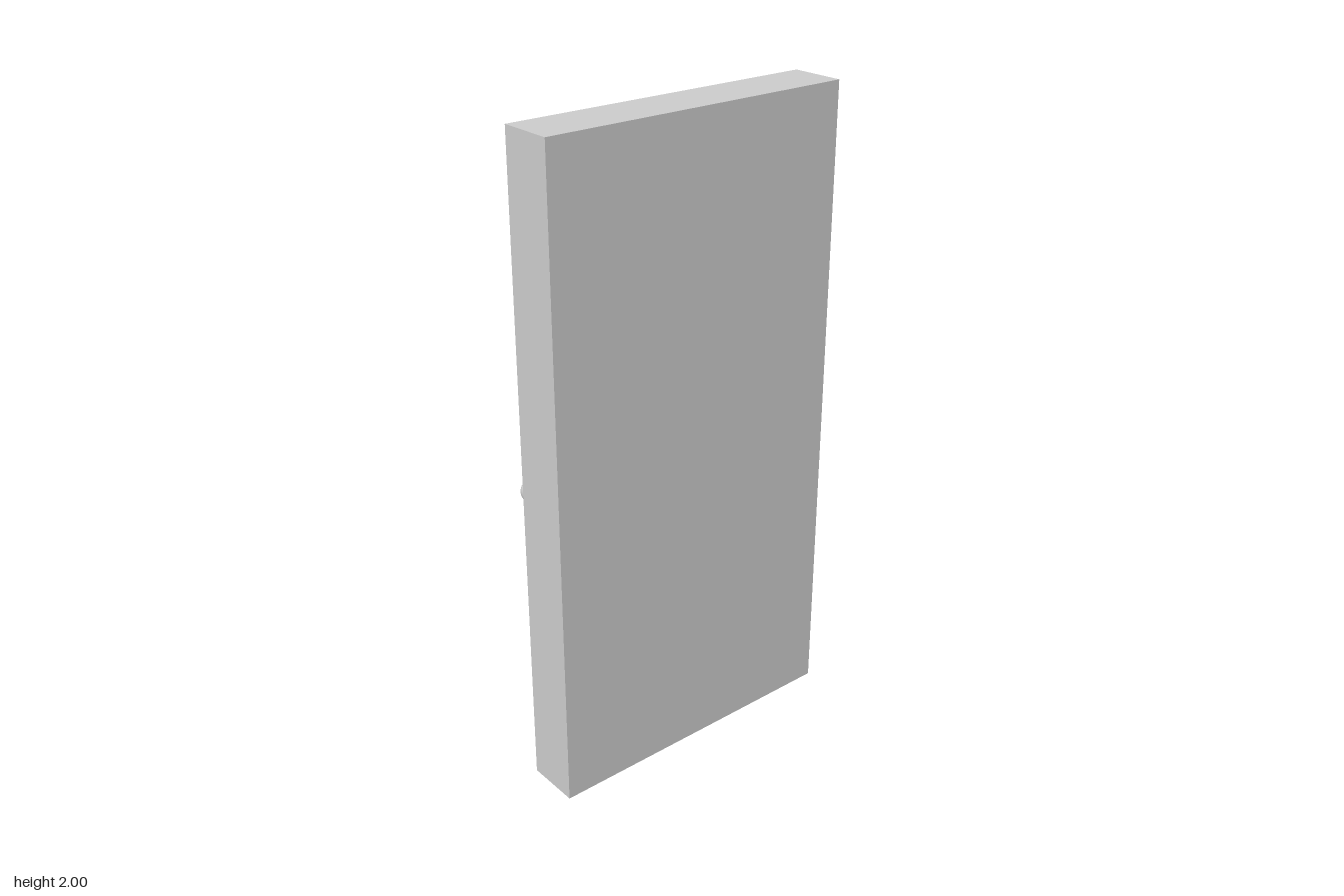
import * as THREE from 'three';

const BACK = -0.02; // z of the door face that carries the hardware

export function createModel() {
  const group = new THREE.Group();
  const grey = new THREE.MeshStandardMaterial({ color: 0xcccccc });
  const black = new THREE.MeshStandardMaterial({ color: 0x050505 });

  const add = (name, geometry, material, x, y, z) => {
    const mesh = new THREE.Mesh(geometry, material);
    mesh.name = name;
    mesh.position.set(x, y, z);
    group.add(mesh);
  };

  // Plain slab
  add('doorPanel', new THREE.BoxGeometry(1, 2, 0.17), grey, 0, 1, 0.065);

  // Turned knob: flared rose, narrow neck, rounded grip (radius, distance from door)
  const profile = new THREE.SplineCurve([
    [0.046, 0], [0.051, 0.008], [0.045, 0.018], [0.032, 0.028], [0.02, 0.038],
    [0.016, 0.047], [0.02, 0.056], [0.029, 0.071], [0.037, 0.087],
    [0.038, 0.1], [0.033, 0.116], [0.02, 0.127], [0, 0.131],
  ].map(([r, d]) => new THREE.Vector2(r, d)));
  const points = profile.getPoints(36).map((p) => new THREE.Vector2(Math.max(p.x, 0), p.y));
  const knob = new THREE.LatheGeometry(points, 32).rotateX(-Math.PI / 2);
  add('doorKnob', knob, grey, -0.4, 0.9, BACK);

  // Tapered lock above the knob
  const lock = new THREE.CylinderGeometry(0.023, 0.036, 0.055, 32).rotateX(-Math.PI / 2);
  add('lock', lock, black, -0.4, 1.037, BACK - 0.0275);

  return group;
}
